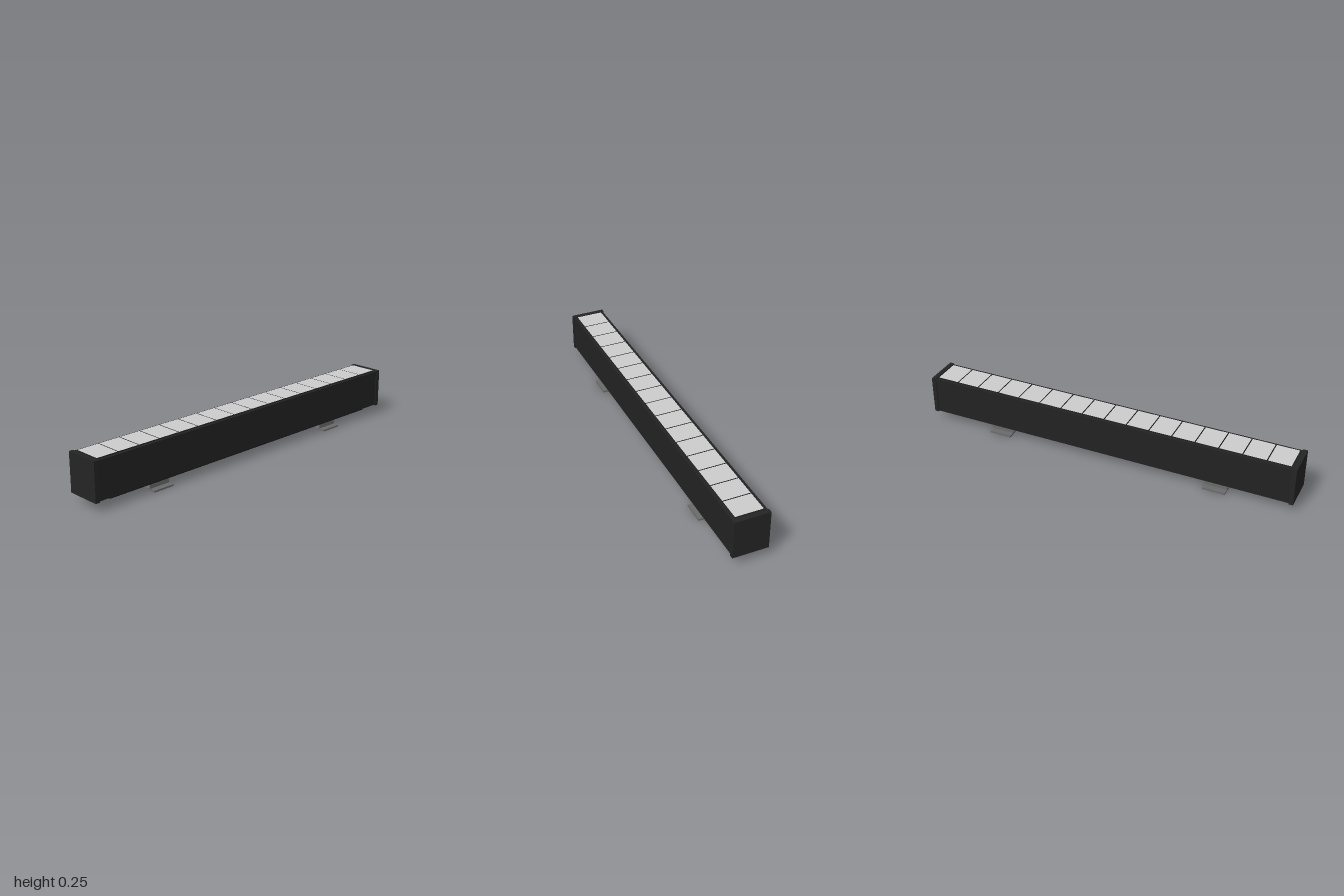
import * as THREE from 'three';

export function createModel() {
  const model = new THREE.Group();
  model.name = 'lightBar';

  const paint = (name, color) => {
    const m = new THREE.MeshStandardMaterial({ color });
    m.name = name;
    return m;
  };
  const housingBlack = paint('housing black', 0x222222);
  const capBlack = paint('end cap black', 0x242424);
  const railBlack = paint('rail black', 0x1c1a1b);
  const lensGrey = paint('lens grey', 0xcccccc);
  const bracketGrey = paint('bracket grey', 0x6a6a6a);

  // Box given by its limits on each axis
  const box = (name, mat, [x0, x1], [y0, y1], [z0, z1], parent = model) => {
    const mesh = new THREE.Mesh(new THREE.BoxGeometry(x1 - x0, y1 - y0, z1 - z0), mat);
    mesh.position.set((x0 + x1) / 2, (y0 + y1) / 2, (z0 + z1) / 2);
    mesh.name = name;
    parent.add(mesh);
    return mesh;
  };

  // Long housing between two slightly larger end caps
  box('housing', housingBlack, [-0.977, 0.977], [0.052, 0.247], [-0.088, 0.088]);
  box('rightEndCap', capBlack, [-1, -0.977], [0.048, 0.251], [-0.092, 0.092]);
  box('leftEndCap', capBlack, [0.977, 1], [0.048, 0.251], [-0.092, 0.092]);

  // Row of sixteen lens tiles, each a dark frame with a pale face
  const count = 16, pitch = 1.94 / count, half = pitch / 2 - 0.003;
  for (let i = 0; i < count; i++) {
    const x = (i - (count - 1) / 2) * pitch;
    const tile = new THREE.Group();
    tile.name = 'lensTile' + (i + 1);
    box('lensFrame', housingBlack, [x - half, x + half], [0.246, 0.2525], [-0.071, 0.071], tile);
    box('lensFace', lensGrey, [x - half, x + half], [0.2525, 0.2533], [-0.071, 0.071], tile);
    model.add(tile);
  }

  // Three rails under the housing
  for (const z of [-0.059, 0, 0.059]) {
    box('bottomRail', railBlack, [-0.9, 0.9], [0.035, 0.053], [z - 0.006, z + 0.006]);
  }

  // Two mounting feet: a flat plate on two upright webs
  for (const side of [-1, 1]) {
    const foot = new THREE.Group();
    foot.name = side < 0 ? 'rightFoot' : 'leftFoot';
    const xs = [side * 0.6 - 0.059, side * 0.6 + 0.059];
    box('footPlate', bracketGrey, xs, [0, 0.009], [-0.09, 0.09], foot);
    for (const z of [-0.054, 0.054]) {
      box('footWeb', bracketGrey, xs, [0.009, 0.053], [z - 0.0035, z + 0.0035], foot);
    }
    model.add(foot);
  }

  return model;
}
